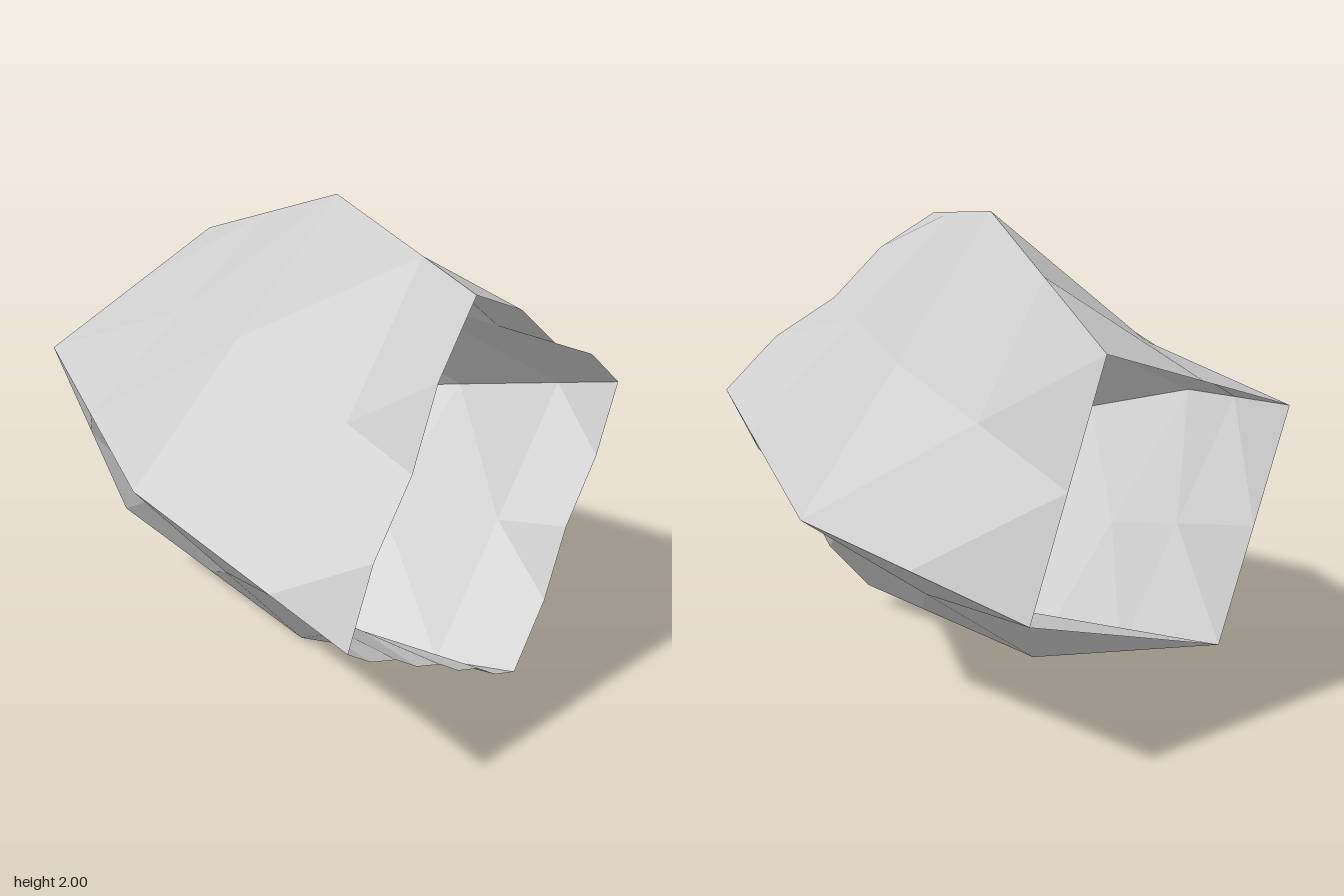
import * as THREE from 'three';

// Corner rings of the twisted square tube: first corner, the rest are quarter turns about y = 1
function ring(x, y, zs) {
  return zs.map((z, i) => {
    const p = [[x, y], [y, -x], [-x, -y], [-y, x]][i];
    return new THREE.Vector3(p[0], p[1] + 1, z);
  });
}

const FRONT = ring(-0.205, 0.89, [0.92, 0.89, 0.93, 0.96]);
const MIDDLE = ring(0.11, 1.0, [0, 0, 0, 0]);
const BACK = ring(0.3, 0.62, [-0.96, -0.96, -0.96, -0.96]);

const mix = (a, b, t) => a.clone().lerp(b, t);

// Points along one side of a ring, with every odd point pushed outward
function row(a, b, segments, bulge = 0) {
  const out = new THREE.Vector3(-(b.y - a.y), b.x - a.x, 0).normalize();
  return Array.from({ length: segments + 1 }, (_, i) =>
    mix(a, b, i / segments).addScaledVector(out, i % 2 ? bulge : 0));
}

function wall(side) {
  const next = (side + 1) % 4;
  const [f0, f1] = [FRONT[side], FRONT[next]];
  const [m0, m1] = [MIDDLE[side], MIDDLE[next]];
  const [b0, b1] = [BACK[side], BACK[next]];
  const tris = [];
  const tri = (...p) => tris.push(...p);

  const finer = side === 2;
  const front = finer ? row(f0, f1, 8, 0.018) : row(f0, f1, 4, 0.04);
  const inner = row(mix(m0, f0, 0.65), mix(m1, f1, 0.65), 2);
  const middle = row(m0, m1, 2);
  const rear = row(mix(m0, b0, 0.5), mix(m1, b1, 0.5), 2);
  const back = row(b0, b1, 2);

  // Front band: fans out to the rippled rim
  const n = front.length - 1;
  for (let j = 0; j < 2; j++) {
    const start = (j * n) / 2, half = n / 4;
    for (let k = 0; k < n / 2; k++) {
      tri(inner[k < half ? j : j + 1], front[start + k], front[start + k + 1]);
    }
    tri(inner[j], front[start + half], inner[j + 1]);
  }

  // Plain bands further back
  const band = (p, q) => {
    for (let j = 0; j < 2; j++) {
      tri(q[j], p[j], p[j + 1]);
      tri(q[j], p[j + 1], q[j + 1]);
    }
  };
  band(inner, middle);
  if (side === 1) {
    // This wall has a simple fan at the rear
    tri(b0, m0, middle[1]);
    tri(b0, middle[1], b1);
    tri(middle[1], m1, b1);
  } else {
    band(middle, rear);
    band(rear, back);
  }

  const geometry = new THREE.BufferGeometry().setFromPoints(tris);
  geometry.computeVertexNormals();
  return geometry;
}

export function createModel() {
  const group = new THREE.Group();
  group.name = 'twistedTube';
  const material = new THREE.MeshStandardMaterial({
    color: 0xcccccc, flatShading: true, side: THREE.DoubleSide,
  });
  ['upperRightWall', 'lowerRightWall', 'lowerLeftWall', 'upperLeftWall'].forEach((name, i) => {
    const mesh = new THREE.Mesh(wall(i), material);
    // Names follow the model's own left and right
    mesh.name = name.includes('Right') ? name.replace('Right', 'Left') : name.replace('Left', 'Right');
    group.add(mesh);
  });
  return group;
}
